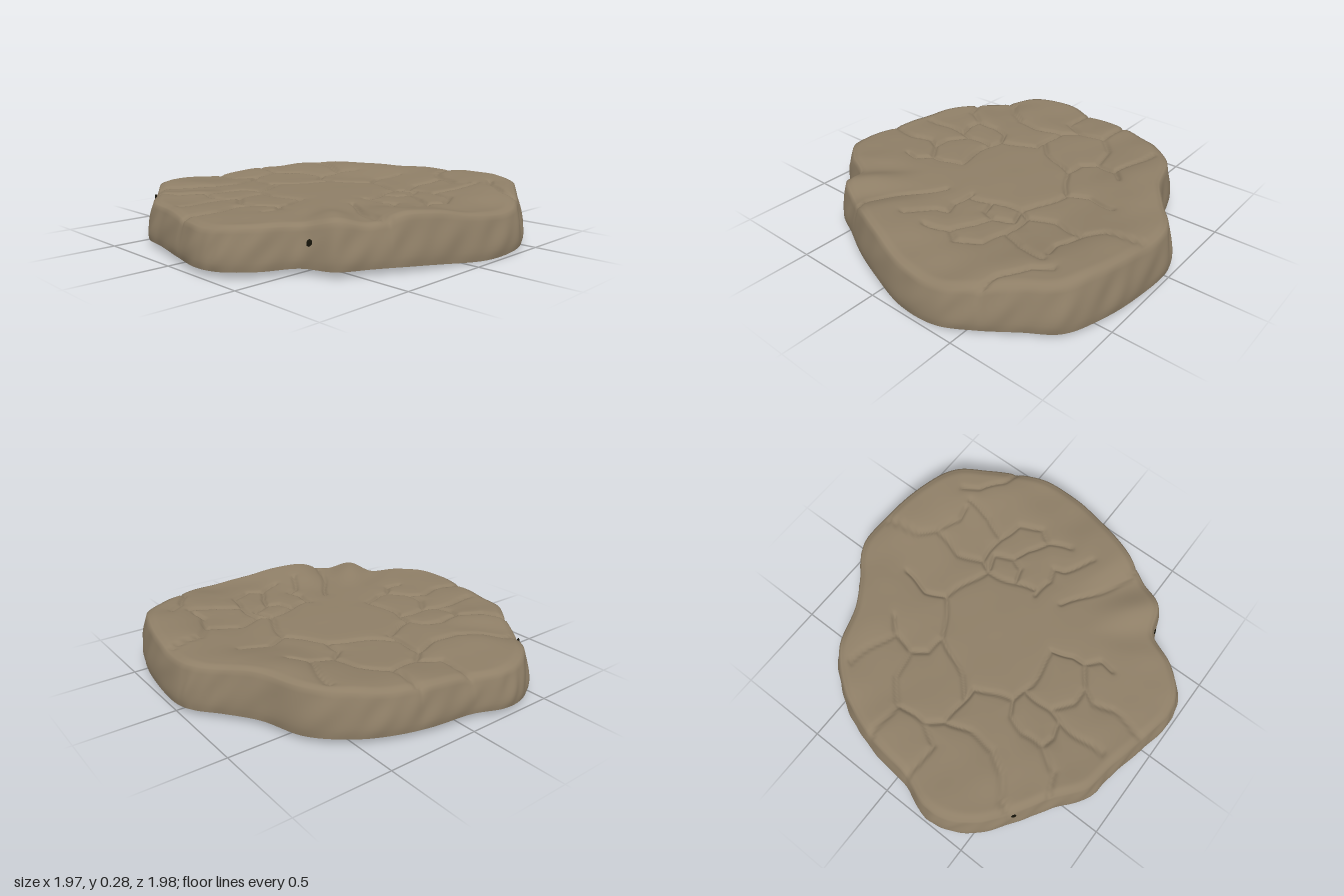
import * as THREE from 'three';

const SEGMENTS = 360, TOP_RINGS = 88, SIDE_RINGS = 9, TOP_SCALE = 0.955;

// Outline going round from the back: x, z, height of the rim
const outline = [
  [0, -1, 0.26], [0.27, -0.99, 0.27], [0.48, -0.95, 0.275], [0.68, -0.87, 0.27],
  [0.79, -0.72, 0.265], [0.9, -0.56, 0.24], [0.98, -0.39, 0.215], [0.98, -0.16, 0.22],
  [0.92, 0.07, 0.25], [0.85, 0.27, 0.265], [0.76, 0.45, 0.23], [0.68, 0.6, 0.26],
  [0.53, 0.67, 0.225], [0.44, 0.84, 0.23], [0.32, 0.96, 0.225], [0.2, 0.99, 0.22],
  [0, 0.955, 0.225], [-0.24, 0.9, 0.225], [-0.4, 0.87, 0.225], [-0.56, 0.75, 0.24],
  [-0.72, 0.65, 0.215], [-0.89, 0.52, 0.235], [-0.98, 0.37, 0.23], [-0.99, 0.24, 0.225],
  [-0.93, 0.07, 0.225], [-0.9, -0.16, 0.24], [-0.85, -0.34, 0.24], [-0.77, -0.5, 0.255],
  [-0.61, -0.67, 0.275], [-0.37, -0.76, 0.275], [-0.21, -0.87, 0.265], [-0.1, -0.96, 0.26],
];

// Cracks between the stones, as x, z paths
const centreCracks = [
  [-0.2, -0.24, -0.01, -0.385, 0.25, -0.3, 0.29, -0.13, 0.32, -0.02],
  [-0.2, -0.24, -0.31, -0.03, -0.4, 0.06, -0.32, 0.06, -0.25, 0.27, -0.12, 0.29, 0.09, 0.27,
    0.14, 0.38, 0.13, 0.45, 0.03, 0.53, -0.07, 0.52, -0.18, 0.45, -0.17, 0.3],
  [-0.01, -0.385, -0.05, -0.5, -0.03, -0.65],
];
const leftCracks = [
  [-0.2, -0.24, -0.31, -0.26, -0.38, -0.34, -0.53, -0.29, -0.63, -0.2, -0.63, -0.03, -0.55, 0.06, -0.4, 0.06],
  [-0.38, -0.34, -0.33, -0.47, -0.27, -0.52],
  [-0.61, -0.54, -0.43, -0.49, -0.34, -0.46],
  [-0.63, -0.2, -0.8, -0.2, -0.9, -0.18],
  [-0.93, 0.07, -0.8, 0.09, -0.68, 0.08, -0.63, -0.03],
  [-0.55, 0.06, -0.52, 0.2, -0.52, 0.35, -0.6, 0.45, -0.7, 0.52, -0.72, 0.65],
];
const frontCracks = [
  [-0.25, 0.27, -0.32, 0.3, -0.36, 0.4, -0.36, 0.52, -0.42, 0.65, -0.55, 0.72],
  [-0.36, 0.52, -0.28, 0.55, -0.2, 0.53, -0.18, 0.45],
  [-0.2, 0.53, -0.2, 0.8],
  [0.03, 0.53, 0, 0.6, 0.02, 0.72, 0, 0.95],
  [0.13, 0.45, 0.2, 0.5, 0.2, 0.58],
  [0.34, 0.15, 0.45, 0.22, 0.6, 0.31, 0.7, 0.36, 0.8, 0.34],
];
const rightCracks = [
  [0.25, -0.3, 0.28, -0.36, 0.24, -0.5, 0.27, -0.68, 0.2, -0.75, 0.15, -0.92],
  [0.28, -0.36, 0.45, -0.36, 0.52, -0.5, 0.53, -0.65],
  [0.27, -0.68, 0.4, -0.61, 0.48, -0.64],
  [0.27, -0.3, 0.35, -0.32, 0.41, -0.22, 0.38, -0.15, 0.29, -0.13],
  [0.45, -0.36, 0.58, -0.33, 0.66, -0.2, 0.6, -0.13, 0.65, 0],
  [0.41, -0.22, 0.5, -0.2, 0.6, -0.13],
  [0.3, 0, 0.42, 0.02, 0.49, -0.02, 0.52, 0.04, 0.66, 0.14],
  [0.58, -0.73, 0.62, -0.64, 0.75, -0.56, 0.9, -0.55],
];

const crackSegments = [];
for (const path of [...centreCracks, ...leftCracks, ...frontCracks, ...rightCracks])
  for (let i = 0; i + 3 < path.length; i += 2) crackSegments.push(path.slice(i, i + 4));

function crackDistance(x, z) {
  let best = 9;
  for (const [ax, az, bx, bz] of crackSegments) {
    const dx = bx - ax, dz = bz - az;
    const t = THREE.MathUtils.clamp(((x - ax) * dx + (z - az) * dz) / (dx * dx + dz * dz), 0, 1);
    best = Math.min(best, Math.hypot(x - ax - dx * t, z - az - dz * t));
  }
  return best;
}

// Gentle lumps of worn stone
const lumps = (x, z) =>
  0.004 * Math.sin(7 * x + 3 * z + 1) * Math.cos(6 * z - 2 * x) +
  0.0025 * Math.sin(17 * x - 9 * z) * Math.sin(14 * z + 5 * x + 2);

function topHeight(x, z, s, rim) {
  const px = x + 0.008 * Math.sin(23 * z), pz = z + 0.008 * Math.sin(21 * x);
  const d = crackDistance(px, pz);
  const crack = 0.014 * Math.exp(-((d / 0.011) ** 2)) + 0.008 * Math.exp(-d / 0.035);
  const rise = THREE.MathUtils.smoothstep(s, 0.5, 0.92);
  const edge = 0.016 * THREE.MathUtils.smoothstep(s, 0.94, 1) ** 2;
  return THREE.MathUtils.lerp(0.228, rim, rise) + lumps(x, z) * (0.4 + rise) - crack - edge;
}

// The underside sags towards the right edge
const baseHeight = (x, z) => 0.03 - 0.029 * Math.exp(-((x - 0.98) ** 2 + (z + 0.15) ** 2) / 0.1);

// Closed skin through a list of rings
function skin(rings) {
  const index = [], n = SEGMENTS;
  for (let i = 0; i + 1 < rings.length; i++)
    for (let j = 0; j < n; j++) {
      const k = (j + 1) % n, a = i * n, b = a + n;
      index.push(a + j, b + k, b + j, a + j, a + k, b + k);
    }
  const geometry = new THREE.BufferGeometry();
  geometry.setAttribute('position', new THREE.Float32BufferAttribute(rings.flat(2), 3));
  geometry.setIndex(index);
  geometry.computeVertexNormals();
  return geometry;
}

export function createModel() {
  const stone = new THREE.MeshStandardMaterial({ color: 0x8f7f67 });
  stone.name = 'brown stone';
  const shade = new THREE.MeshStandardMaterial({ color: 0x151309 });
  shade.name = 'dark underside';

  const curve = new THREE.CatmullRomCurve3(outline.map(([x, z, h]) => new THREE.Vector3(x, h, z)), true);
  const edge = Array.from({ length: SEGMENTS }, (_, j) => curve.getPoint(j / SEGMENTS));

  // Cracked top, from the centre out
  const rings = [];
  for (let i = 0; i <= TOP_RINGS; i++) {
    const s = i / TOP_RINGS;
    rings.push(edge.map((p) => {
      const x = p.x * TOP_SCALE * s, z = p.z * TOP_SCALE * s;
      return [x, topHeight(x, z, s, p.y), z];
    }));
  }

  // Sloping side with shallow chipped folds
  const rim = rings[TOP_RINGS];
  for (let i = 1; i <= SIDE_RINGS; i++) {
    const t = 1 - i / SIDE_RINGS;
    rings.push(edge.map((p, j) => {
      const a = (j / SEGMENTS) * Math.PI * 2;
      const fold = 0.006 * Math.sin(31 * a + 5 * t) * Math.sin(13 * a) * Math.sin(Math.PI * t);
      const s = 1 - (1 - TOP_SCALE) * t ** 1.4 + fold - 0.012 * (1 - t) ** 6;
      const x = p.x * s, z = p.z * s;
      return [x, THREE.MathUtils.lerp(baseHeight(x, z), rim[j][1], t), z];
    }));
  }
  const slab = new THREE.Mesh(skin(rings), stone);
  slab.name = 'stoneSlab';

  // Underside, from the rim in
  const lower = rings[rings.length - 1];
  const under = [1, 0.97, 0.85, 0.65, 0.4, 0.2, 0].map((s) => lower.map(([x, , z]) =>
    [x * s, baseHeight(x * s, z * s) - (s < 1 ? 0.003 * (1 + Math.sin(9 * x * s + 4 * z * s)) * (1 - s) : 0), z * s]));
  const underside = new THREE.Mesh(skin(under), shade);
  underside.name = 'underside';

  const group = new THREE.Group();
  group.name = 'crackedStonePlatform';
  group.add(slab, underside);

  // Small dark pits in the folds of the front side
  for (const [px, y, w] of [[0.57, 0.14, 0.016], [-0.735, 0.17, 0.014]]) {
    let j = 0;
    edge.forEach((p, k) => { if (p.z > 0.3 && Math.abs(p.x - px) < Math.abs(edge[j].x - px) + (edge[j].z > 0.3 ? 0 : 9)) j = k; });
    const p = edge[j], q = edge[(j + 2) % SEGMENTS], o = edge[(j + SEGMENTS - 2) % SEGMENTS];
    const out = new THREE.Vector3(-(q.z - o.z), 0, q.x - o.x).normalize().negate();
    const pit = new THREE.Mesh(new THREE.SphereGeometry(1, 10, 8), shade);
    pit.name = 'pit';
    pit.scale.set(w, w * 1.5, 0.006);
    const s = 1 - (1 - TOP_SCALE) * ((y - 0.03) / 0.19) ** 1.4;
    pit.position.set(p.x * s, y, p.z * s);
    pit.lookAt(pit.position.clone().add(out));
    group.add(pit);
  }
  return group;
}
